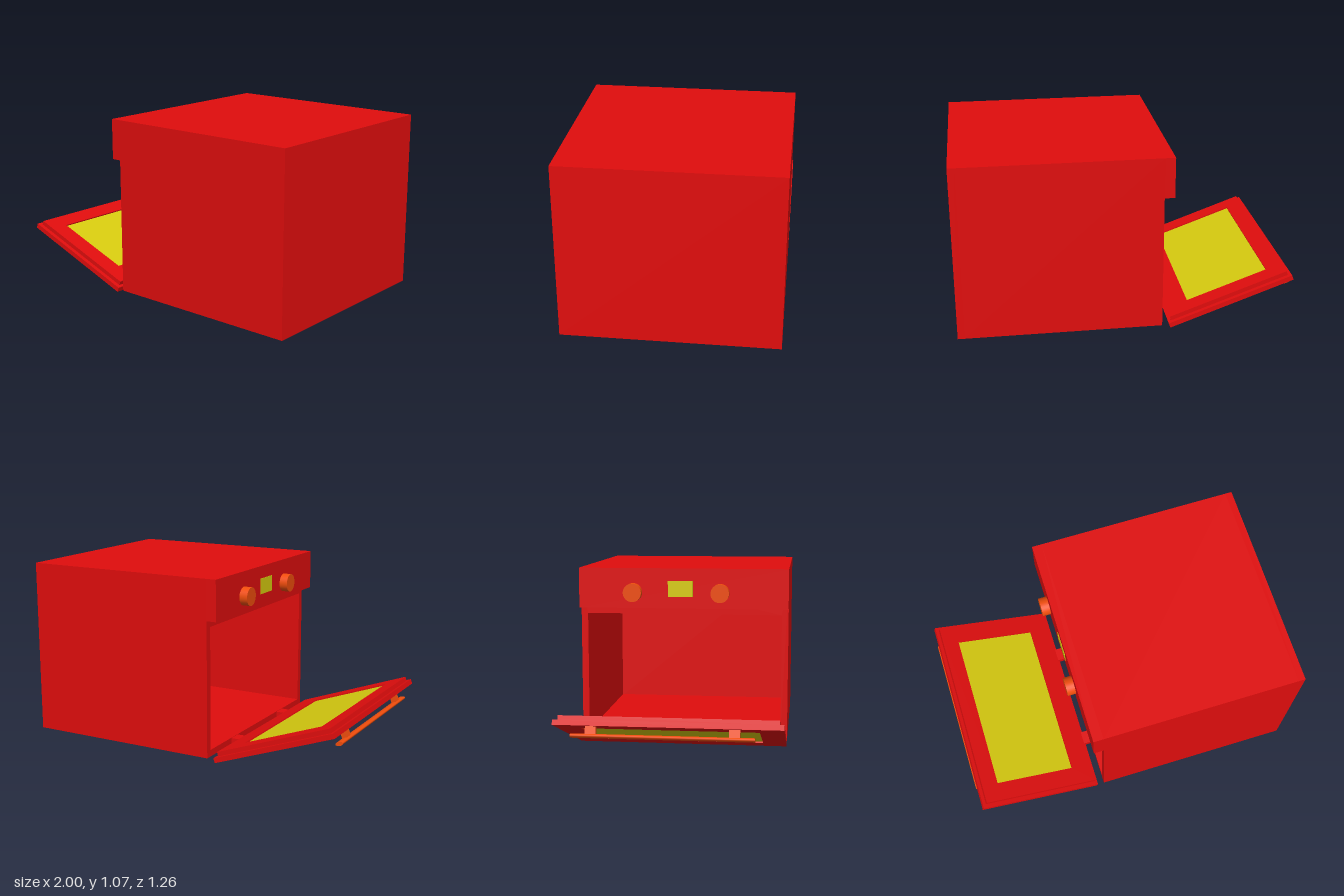
import * as THREE from 'three';

const paint = (color) => new THREE.MeshStandardMaterial({ color });

export function createModel() {
  const oven = new THREE.Group();
  oven.name = 'oven';
  const red = paint(0xe00d0d), orange = paint(0xf04d0c), yellow = paint(0xd8cc0f);

  const add = (parent, name, geometry, material) => {
    const mesh = new THREE.Mesh(geometry, material);
    mesh.name = name;
    parent.add(mesh);
    return mesh;
  };

  // Box given by its low and high corners
  const block = (parent, name, material, a, b) => {
    const g = new THREE.BoxGeometry(b[0] - a[0], b[1] - a[1], b[2] - a[2]);
    g.translate((a[0] + b[0]) / 2, (a[1] + b[1]) / 2, (a[2] + b[2]) / 2);
    return add(parent, name, g, material);
  };

  // Rectangular frame [x0, x1, y0, y1] with a rectangular hole, extruded along z
  const corners = ([x0, x1, y0, y1]) =>
    [[x0, y0], [x1, y0], [x1, y1], [x0, y1]].map(([x, y]) => new THREE.Vector2(x, y));
  const frame = (outer, hole, depth) => {
    const shape = new THREE.Shape(corners(outer));
    shape.holes.push(new THREE.Path(corners(hole).reverse()));
    return new THREE.ExtrudeGeometry(shape, { depth, bevelEnabled: false });
  };

  // Hollow body: a rectangular tube along x, closed at the far end
  const body = new THREE.Group();
  body.name = 'body';
  oven.add(body);
  const shell = frame([0.02, 1.07, -0.63, 0.63], [0.06, 0.79, -0.59, 0.59], 1.16);
  shell.applyMatrix4(new THREE.Matrix4().makeBasis(
    new THREE.Vector3(0, 1, 0), new THREE.Vector3(0, 0, 1), new THREE.Vector3(1, 0, 0)));
  shell.translate(-0.2, 0, 0);
  add(body, 'shell', shell, red);
  block(body, 'rearWall', red, [0.96, 0.02, -0.63], [1, 1.07, 0.63]);

  // Control panel with display and two knobs
  block(body, 'controlPanel', red, [-0.26, 0.83, -0.63], [-0.2, 1.07, 0.63]);
  block(body, 'display', yellow, [-0.263, 0.9, -0.09], [-0.25, 0.995, 0.06]);
  for (const z of [-0.3, 0.225]) {
    const knob = new THREE.CylinderGeometry(0.055, 0.055, 0.05, 32);
    knob.rotateZ(Math.PI / 2);
    add(body, 'knob', knob, orange).position.set(-0.285, 0.925, z);
  }

  // Hinges
  for (const z of [-0.3, 0.31])
    block(body, 'hinge', red, [-0.255, 0.022, z - 0.04], [-0.2, 0.058, z + 0.04]);

  // Open door: local x runs to the free edge, y across, z towards the inside
  const door = new THREE.Group();
  door.name = 'door';
  const c = Math.cos(0.347), s = Math.sin(0.347);
  door.applyMatrix4(new THREE.Matrix4().makeBasis(
    new THREE.Vector3(-c, s, 0), new THREE.Vector3(0, 0, 1), new THREE.Vector3(s, c, 0))
    .setPosition(-0.25, 0, 0));
  oven.add(door);
  const opening = [0.153, 0.664, -0.495, 0.495];
  add(door, 'outerDoorFrame', frame([0, 0.785, -0.63, 0.63], opening, 0.03), red);
  add(door, 'innerDoorFrame', frame([0.02, 0.765, -0.605, 0.605], opening, 0.026), red)
    .position.z = 0.03;
  block(door, 'window', yellow, [0.15, -0.5, 0.008], [0.667, 0.5, 0.048]);

  // Handle bar on two posts
  const bar = new THREE.CylinderGeometry(0.024, 0.024, 1.005, 16);
  bar.scale(1, 1, 0.5);
  add(door, 'handleBar', bar, orange).position.set(0.752, -0.027, -0.052);
  for (const y of [-0.42, 0.365])
    block(door, 'handlePost', orange, [0.738, y - 0.03, -0.05], [0.766, y + 0.03, 0.002]);

  return oven;
}
